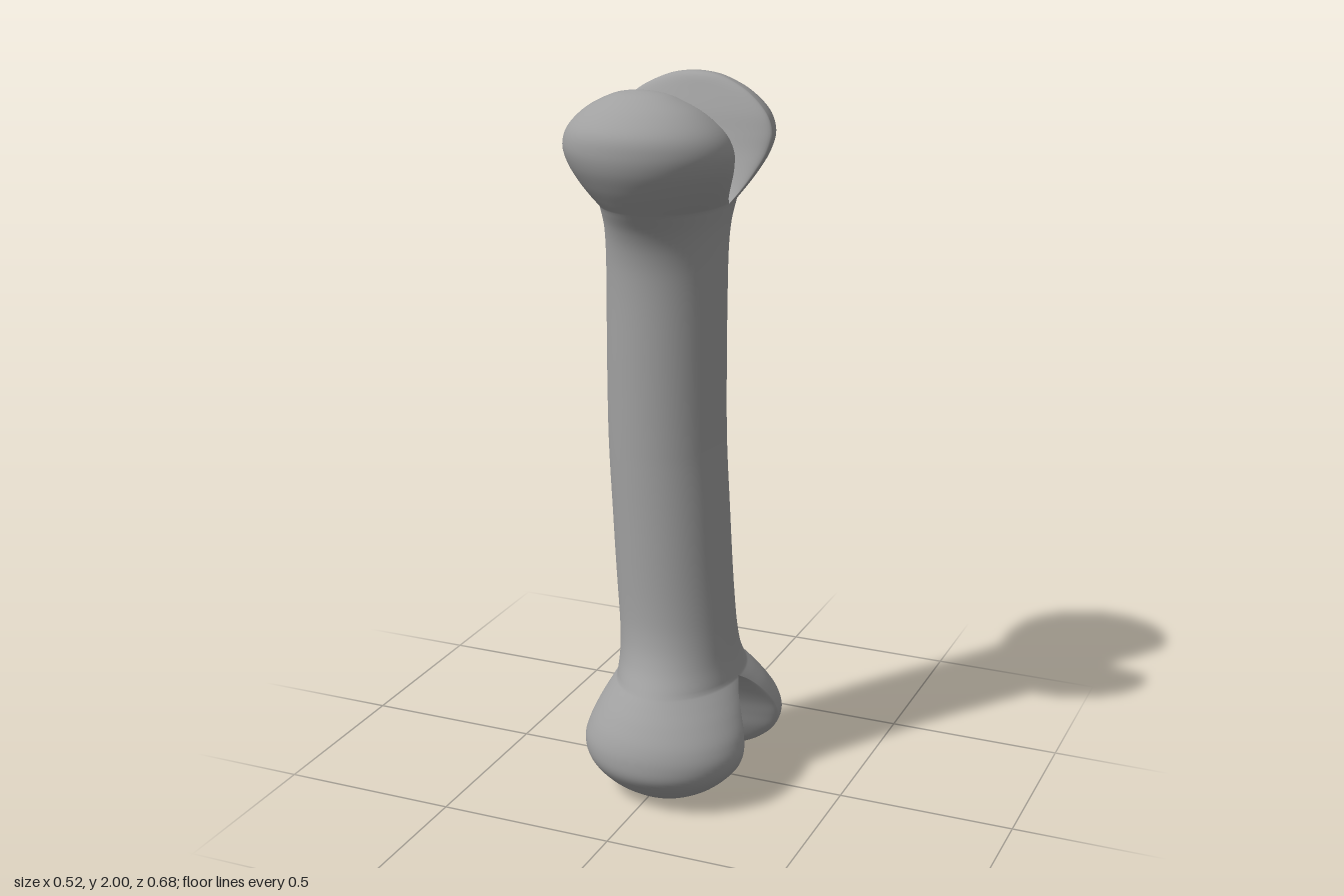
import * as THREE from 'three';
import { mergeVertices } from 'three/addons/utils/BufferGeometryUtils.js';

const ARC = 32; // segments in half a cross-section
const STEPS = 6; // loops between two stations

// Upper half of the bone: [height, half width, outer z, widest z, inner z]
const shaft = [
  [1.0, 0.165, 0.165, 0, 0],
  [1.25, 0.165, 0.166, 0, 0],
  [1.45, 0.165, 0.168, 0, 0],
  [1.55, 0.165, 0.178, 0, 0],
  [1.62, 0.167, 0.202, 0, 0],
  [1.68, 0.174, 0.242, 0, 0],
];
const knob = [
  [1.68, 0.174, 0.242, 0, 0],
  [1.71, 0.189, 0.266, 0.045, 0.028],
  [1.75, 0.209, 0.295, 0.085, 0.055],
  [1.8, 0.229, 0.322, 0.12, 0.083],
  [1.85, 0.236, 0.333, 0.14, 0.103],
  [1.9, 0.215, 0.326, 0.152, 0.12],
  [1.95, 0.16, 0.286, 0.165, 0.141],
  [1.985, 0.09, 0.237, 0.176, 0.157],
  [1.997, 0.041, 0.205, 0.18, 0.17],
  [2.0, 0, 0.183, 0.183, 0.183],
];

// The bone's sideways bend, as (height, x)
const bend = [
  [0, 0.023], [0.2, 0.023], [0.4, 0.006], [0.6, -0.01], [0.8, -0.022],
  [1, -0.033], [1.2, -0.036], [1.4, -0.036], [1.6, -0.034], [1.8, -0.025], [2, -0.025],
];
const bendCurve = new THREE.SplineCurve(bend.map(([y, x]) => new THREE.Vector2(y, x)));

function bendAt(y) {
  const f = y < 0.2 || y > 1.8 ? null : y;
  if (f === null) return y < 1 ? 0.023 : -0.025;
  return bendCurve.getPoint(f / 2).y;
}

// Smoothly fill in the loops between stations
function refine(stations) {
  const curve = (pick) => new THREE.CatmullRomCurve3(
    stations.map((s) => new THREE.Vector3(...pick(s))), false, 'catmullrom');
  const a = curve((s) => [s[0], s[1], s[2]]);
  const b = curve((s) => [s[3], s[4], 0]);
  const n = (stations.length - 1) * STEPS;
  return Array.from({ length: n + 1 }, (_, i) => {
    const p = a.getPoint(i / n), q = b.getPoint(i / n);
    return [p.x, p.y, p.z, q.x, q.y];
  });
}

// One cross-section: an outer arc, closed by a flatter inner arc for a knob
function section([h, halfWidth, outer, widest, inner], end, side, closed) {
  const y = end > 0 ? h : 2 - h;
  const cx = bendAt(y), cz = (1 - y) * 0.007;
  const points = [];
  const add = (angle, z) => points.push([cx + halfWidth * Math.cos(angle), y, cz + side * z]);
  for (let i = 0; i <= ARC; i++) {
    const t = (Math.PI * i) / ARC;
    add(t, widest + (outer - widest) * Math.sin(t));
  }
  if (closed) {
    for (let i = ARC - 1; i >= 0; i--) {
      const t = (Math.PI * i) / ARC;
      add(t, widest - (widest - inner) * Math.sin(t));
    }
  }
  return points;
}

// Skin a run of cross-sections with triangles
function skin(rows, flip, out) {
  const tri = (a, b, c) => out.push(...a, ...(flip ? c : b), ...(flip ? b : c));
  for (let j = 0; j < rows.length - 1; j++) {
    for (let i = 0; i < rows[j].length - 1; i++) {
      const a = rows[j][i], b = rows[j][i + 1];
      const c = rows[j + 1][i], d = rows[j + 1][i + 1];
      tri(a, c, b);
      tri(b, c, d);
    }
  }
}

export function createModel() {
  const group = new THREE.Group();
  group.name = 'bone';
  const boneGrey = new THREE.MeshStandardMaterial({ color: 0xa0a0a0 });
  boneGrey.name = 'boneGrey';

  // Four mirrored quarters: half a shaft running into one knob
  const shaftLoops = refine(shaft), knobLoops = refine(knob);
  const positions = [];
  for (const end of [1, -1]) {
    for (const side of [1, -1]) {
      const flip = end * side < 0;
      skin(shaftLoops.map((s) => section(s, end, side, false)), flip, positions);
      skin(knobLoops.map((s) => section(s, end, side, true)), flip, positions);
    }
  }

  // Weld the quarters so the surface shades as one smooth skin
  let geometry = new THREE.BufferGeometry();
  geometry.setAttribute('position', new THREE.Float32BufferAttribute(positions, 3));
  geometry = mergeVertices(geometry, 1e-5);
  geometry.computeVertexNormals();

  const mesh = new THREE.Mesh(geometry, boneGrey);
  mesh.name = 'boneShaftAndKnobs';
  group.add(mesh);
  return group;
}
